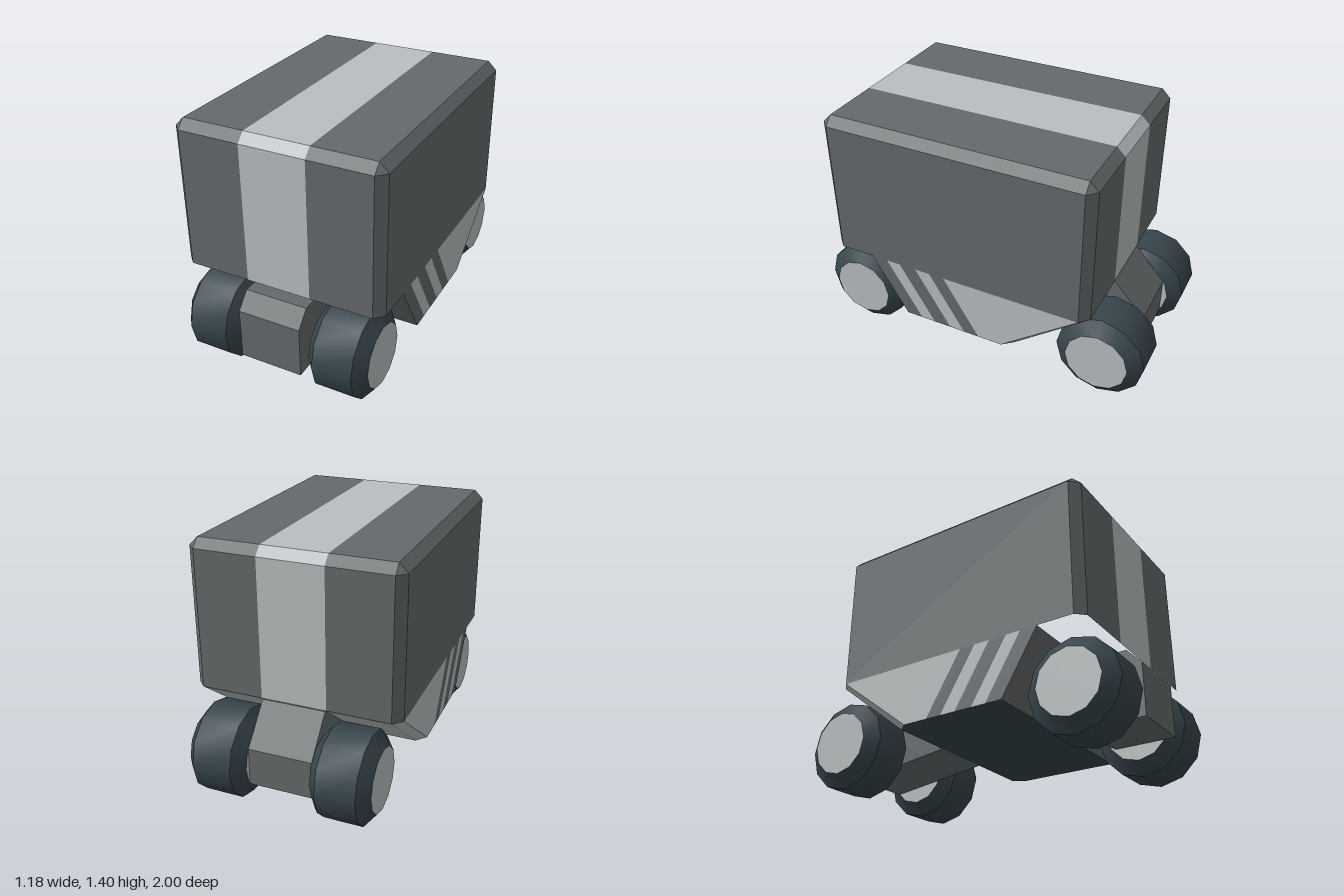
import * as THREE from 'three';
import { toCreasedNormals } from 'three/addons/utils/BufferGeometryUtils.js';

const material = (name, color) => {
  const m = new THREE.MeshStandardMaterial({ color });
  m.name = name;
  return m;
};

// Flat convex polygons, each turned to face away from an inner point
function panels(name, mat, polys, centre) {
  const c = new THREE.Vector3(...centre);
  const pos = [];
  for (const poly of polys) {
    const p = poly.map((q) => new THREE.Vector3(...q));
    const n = p[1].clone().sub(p[0]).cross(p[2].clone().sub(p[0]));
    if (n.dot(p[0].clone().sub(c)) < 0) p.reverse();
    for (let i = 1; i < p.length - 1; i++) {
      for (const v of [p[0], p[i], p[i + 1]]) pos.push(v.x, v.y, v.z);
    }
  }
  const g = new THREE.BufferGeometry();
  g.setAttribute('position', new THREE.Float32BufferAttribute(pos, 3));
  g.computeVertexNormals();
  const mesh = new THREE.Mesh(g, mat);
  mesh.name = name;
  return mesh;
}

export function createModel() {
  const body = material('bodyGrey', 0x64696b);
  const light = material('lightGrey', 0xb9bec0);
  const dark = material('tyreDark', 0x37454c);
  const model = new THREE.Group();
  model.name = 'deliveryRover';

  // Cargo box: two chamfered rings and a top rectangle, split at the stripe
  const W = 0.59, C = 0.05, F = 0.865, R = -0.71, S = 0.185;
  const yBase = 0.57, yEdge = 1.355, yTop = 1.405;
  const ring = (y, w, f, r) => [
    [-S, y, f], [S, y, f], [W - C, y, f], [w, y, F - C],
    [w, y, R + C], [W - C, y, r], [S, y, r], [-S, y, r],
    [C - W, y, r], [-w, y, R + C], [-w, y, F - C], [C - W, y, f],
  ];
  const low = ring(yBase, W, F, R);
  const mid = ring(yEdge, W, F, R);
  const top = ring(yTop, W - C, F - C, R + C);
  const boxGrey = [low], boxLight = [];
  for (let i = 0; i < 12; i++) {
    const j = (i + 1) % 12;
    const list = i === 0 || i === 6 ? boxLight : boxGrey;
    list.push([low[i], low[j], mid[j], mid[i]]);
    // corner facets of the top chamfer come to a point
    list.push([2, 4, 8, 10].includes(i)
      ? [mid[i], mid[j], top[i]]
      : [mid[i], mid[j], top[j], top[i]]);
  }
  boxLight.push([top[0], top[1], top[6], top[7]]);
  boxGrey.push([top[1], top[2], top[5], top[6]], [top[0], top[11], top[8], top[7]]);
  const boxCentre = [0, 1, 0.08];
  model.add(panels('cargoBox', body, boxGrey, boxCentre));
  model.add(panels('centreStripe', light, boxLight, boxCentre));

  // Lower hull: sloped ends with slanted bands along the sides
  const yFloor = 0.225, lean = 0.21;
  const breaks = [0.61, 0.513, 0.428, 0.326, 0.235, 0.144];
  const hullGrey = [[[-W, yBase, 0.61], [W, yBase, 0.61], [W, yFloor, 0.4], [-W, yFloor, 0.4]]];
  const N = W - C;
  const hullLight = [[[-N, yBase, R], [N, yBase, R], [N, yFloor, -0.27], [-N, yFloor, -0.27]]];
  for (const x of [-W, W]) {
    for (let i = 0; i < 5; i++) {
      const a = breaks[i], b = breaks[i + 1];
      (i % 2 ? hullLight : hullGrey).push(
        [[x, yBase, a], [x, yBase, b], [x, yFloor, b - lean], [x, yFloor, a - lean]]);
    }
    hullLight.push([[x, yBase, 0.144], [x, yBase, R + C],
      [x, yFloor, -0.21], [x, yFloor, 0.144 - lean]]);
    const n = Math.sign(x) * N;
    hullLight.push([[x, yBase, R + C], [n, yBase, R], [n, yFloor, -0.27], [x, yFloor, -0.21]]);
  }
  const hullCentre = [0, 0.4, 0];
  model.add(panels('hull', body, hullGrey, hullCentre));
  model.add(panels('hullLightPanels', light, hullLight, hullCentre));
  model.add(panels('hullFloor', dark, [[
    [-W, yFloor, 0.4], [W, yFloor, 0.4], [W, yFloor, -0.21],
    [N, yFloor, -0.27], [-N, yFloor, -0.27], [-W, yFloor, -0.21],
  ]], hullCentre));

  // Axle housings: side profiles in (z, y) extruded across the middle
  const housing = (name, points) => {
    const shape = new THREE.Shape(points.map(([z, y]) => new THREE.Vector2(z, y)));
    const g = new THREE.ExtrudeGeometry(shape, { depth: 0.36, bevelEnabled: false });
    g.rotateY(-Math.PI / 2).translate(0.18, 0, 0);
    const mesh = new THREE.Mesh(g, body);
    mesh.name = name;
    model.add(mesh);
  };
  housing('frontAxleHousing', [[0.97, 0.15], [0.97, 0.44], [0.89, 0.527], [0.56, 0.527],
    [0.42, 0.27], [0.63, 0.15]]);
  housing('rearAxleHousing', [[-0.27, 0.226], [-0.7, 0.565], [-0.71, 0.565], [-0.89, 0.36],
    [-0.89, 0.147]]);

  // Wheels: twelve-sided bevelled tyres with flat discs on both faces
  const wheelR = 0.255, discR = 0.18;
  const wheel = (name, side, inner, outer, z) => {
    const h = (outer - inner) / 2, b = 0.058;
    const profile = [[discR, -h], [wheelR, b - h], [wheelR, h - b], [discR, h]]
      .map(([r, y]) => new THREE.Vector2(r, y));
    const tyre = new THREE.Mesh(
      toCreasedNormals(new THREE.LatheGeometry(profile, 12), 0.6), dark);
    tyre.name = 'tyre';
    const group = new THREE.Group();
    group.name = name;
    group.add(tyre);
    for (const s of [-1, 1]) {
      const disc = new THREE.Mesh(new THREE.CircleGeometry(discR, 12, Math.PI / 2), light);
      disc.name = 'wheelDisc';
      disc.rotation.x = -s * Math.PI / 2;
      disc.position.y = s * h;
      group.add(disc);
    }
    group.rotation.z = Math.PI / 2;
    group.position.set(side * (inner + outer) / 2, wheelR, z);
    model.add(group);
  };
  for (const [label, side] of [['Left', 1], ['Right', -1]]) {
    wheel('front' + label + 'Wheel', side, 0.205, 0.545, 0.745);
    wheel('rear' + label + 'Wheel', side, 0.18, 0.515, -0.745);
  }
  return model;
}
